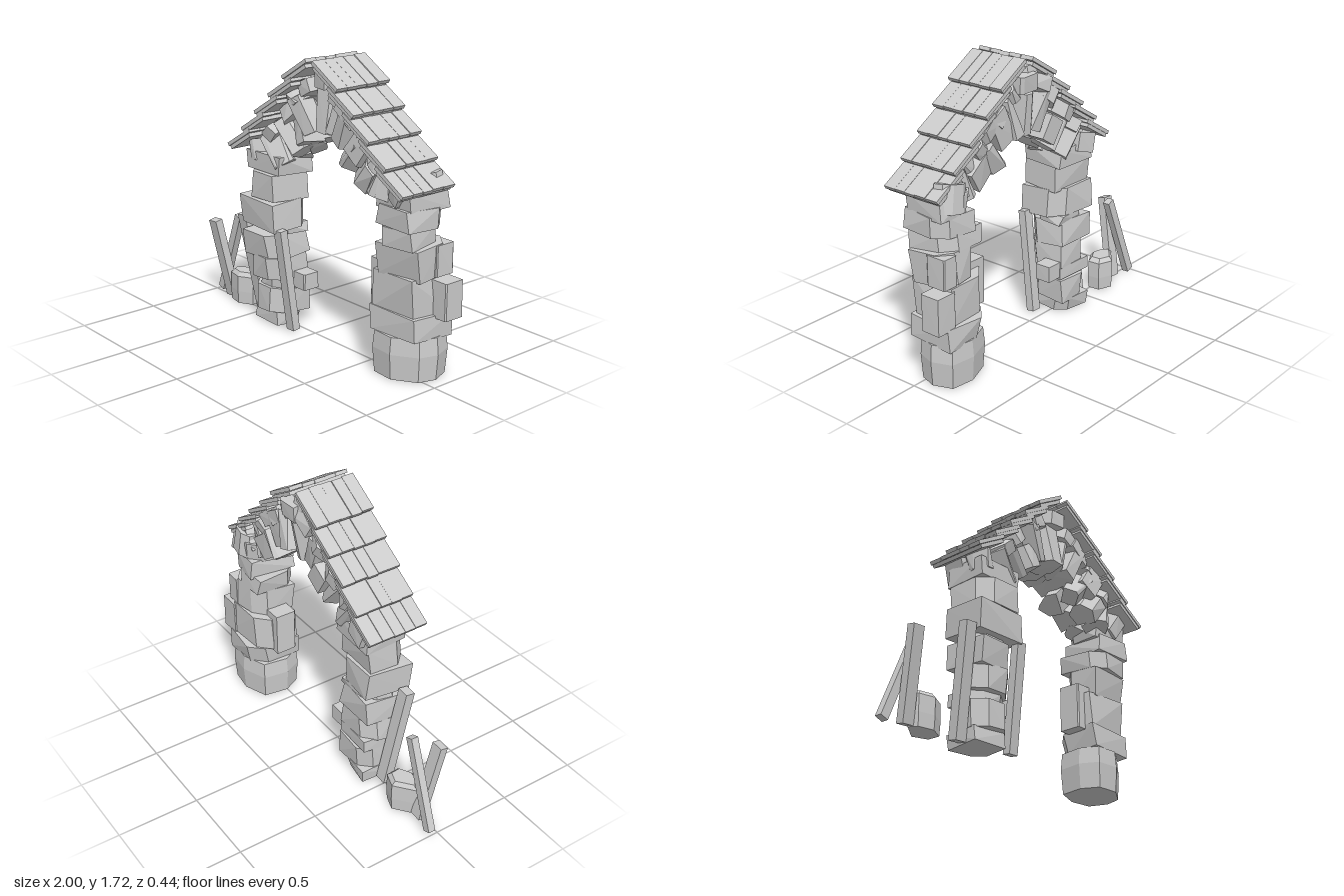
import * as THREE from 'three';
import { ConvexGeometry } from 'three/addons/geometries/ConvexGeometry.js';

export function createModel() {
  const root = new THREE.Group();
  const mat = new THREE.MeshStandardMaterial({ color: 0xcccccc, flatShading: true });
  let seed = 29;
  const rnd = () => (seed = (seed * 16807) % 2147483647) / 2147483647;
  const vary = (amount) => (rnd() * 2 - 1) * amount;

  function add(parent, name, geo) {
    const mesh = new THREE.Mesh(geo, mat);
    mesh.name = name;
    parent.add(mesh);
    return mesh;
  }
  function group(name) {
    const g = new THREE.Group();
    g.name = name;
    root.add(g);
    return g;
  }

  // Rough-hewn block: corners pulled in unevenly, some upright edges cut off, slightly turned
  function stone(parent, name, [x, y, z], [w, h, d], angle = 0, chip = 0.1, turn = 0.08) {
    const pts = [];
    for (const sx of [-1, 1]) for (const sz of [-1, 1]) {
      const cut = rnd() < 0.5 ? chip * 2.5 : 0;
      for (const sy of [-1, 1]) {
        const px = 0.5 - rnd() * chip, pz = 0.5 - rnd() * chip, py = sy * h * (0.5 - rnd() * chip * 0.5);
        pts.push(new THREE.Vector3(sx * w * (px - cut), py, sz * d * pz));
        pts.push(new THREE.Vector3(sx * w * px, py, sz * d * (pz - cut)));
      }
    }
    const m = add(parent, name, new ConvexGeometry(pts));
    m.position.set(x, y, z);
    m.rotation.set(vary(turn), vary(turn), angle);
    return m;
  }
  // Block given by its extents: x0, x1, y0, y1, z0, z1
  const block = (parent, name, [x0, x1, y0, y1, z0, z1], chip, turn) =>
    stone(parent, name, [(x0 + x1) / 2, (y0 + y1) / 2, (z0 + z1) / 2], [x1 - x0, y1 - y0, z1 - z0], 0, chip, turn);

  // Boulder: a plan outline of [x, z] scaled about its centre at each [height, scale]
  function boulder(parent, name, rim, cx, cz, levels) {
    const pts = [];
    for (const [x, z] of rim) for (const [y, s] of levels)
      pts.push(new THREE.Vector3(cx + (x - cx) * s, y, cz + (z - cz) * s));
    add(parent, name, new ConvexGeometry(pts));
  }

  // Pillar on the +x side
  const leftPillar = group('leftPillar');
  boulder(leftPillar, 'footStone', [[0.565, 0], [0.62, 0.11], [0.77, 0.12], [0.91, 0.03], [0.945, -0.08],
    [0.9, -0.2], [0.75, -0.22], [0.59, -0.16]], 0.75, -0.05, [[0, 0.94], [0.15, 1], [0.25, 0.95]]);
  [
    [0.58, 0.93, 0.24, 0.38, -0.23, 0.11],
    [0.56, 0.92, 0.37, 0.6, -0.2, 0.1],
    [0.61, 0.93, 0.59, 0.78, -0.19, 0.09],
    [0.6, 0.9, 0.77, 0.88, -0.18, 0.13],
    [0.64, 0.92, 0.87, 0.99, -0.18, 0.13],
    [0.63, 0.92, 0.97, 1.1, -0.18, 0.12],
  ].forEach((b) => block(leftPillar, 'pillarStone', b));
  [
    [0.86, 1.0, 0.36, 0.58, -0.2, -0.07],
    [0.52, 0.68, 0.36, 0.64, -0.1, 0.04],
    [0.84, 0.935, 0.6, 0.78, -0.19, -0.06],
  ].forEach((b) => block(leftPillar, 'sideStone', b, 0.02, 0));

  // Pillar on the -x side
  const rightPillar = group('rightPillar');
  [
    [-0.44, -0.19, 0, 0.09, -0.11, 0.12],
    [-0.45, -0.17, 0.08, 0.24, -0.12, 0.15],
    [-0.46, -0.17, 0.23, 0.31, -0.11, 0.13],
    [-0.47, -0.17, 0.3, 0.45, -0.12, 0.18],
    [-0.47, -0.17, 0.44, 0.6, -0.12, 0.18],
    [-0.46, -0.16, 0.59, 0.65, -0.1, 0.14],
    [-0.48, -0.14, 0.63, 0.81, -0.11, 0.19],
    [-0.46, -0.15, 0.8, 0.97, -0.1, 0.19],
    [-0.46, -0.13, 0.96, 1.08, -0.12, 0.16],
  ].forEach((b) => block(rightPillar, 'pillarStone', b));
  block(rightPillar, 'sideStone', [-0.23, -0.075, 0.25, 0.35, -0.09, 0.02], 0.02, 0);

  // Arch ring and the infill under the roof, two stones deep: x, y, width, height, angle
  const arch = group('arch');
  const pair = (name, [x, y, w, h, a]) => {
    for (const z of [0.07, -0.07])
      stone(arch, name, [x + vary(0.01), y + vary(0.01), z + vary(0.02)], [w, h, 0.18], a + vary(0.1), 0.14, 0.2);
  };
  [
    [-0.38, 1.08, 0.17, 0.13, 0.3], [-0.22, 1.11, 0.17, 0.22, 0.6],
    [-0.12, 1.21, 0.15, 0.24, 0.65], [-0.02, 1.25, 0.14, 0.16, 0.5],
    [0.03, 1.36, 0.16, 0.24, 0.4], [0.19, 1.4, 0.18, 0.27, -0.05],
    [0.31, 1.4, 0.13, 0.25, -0.25], [0.4, 1.37, 0.15, 0.24, -0.5],
    [0.46, 1.22, 0.16, 0.19, -0.7], [0.54, 1.27, 0.16, 0.2, -0.7],
    [0.57, 1.14, 0.16, 0.16, -0.7], [0.68, 1.11, 0.18, 0.22, -0.35],
    [0.79, 1.1, 0.18, 0.15, -0.5],
  ].forEach((s) => pair('archStone', s));
  [
    [-0.26, 1.21, 0.2, 0.08, 0.7], [-0.13, 1.33, 0.2, 0.09, 0.7],
    [-0.02, 1.45, 0.18, 0.09, 0.7], [0.1, 1.54, 0.18, 0.09, 0.5],
    [0.2, 1.6, 0.18, 0.1, 0], [0.31, 1.53, 0.18, 0.09, -0.5],
    [0.42, 1.45, 0.18, 0.09, -0.7], [0.54, 1.35, 0.2, 0.09, -0.7],
    [0.67, 1.22, 0.2, 0.09, -0.7],
  ].forEach((s) => pair('infillStone', s));
  // Stones that stick out at the back
  stone(arch, 'backStone', [0.81, 1.08, -0.125], [0.2, 0.17, 0.14], 0.2);
  stone(arch, 'backStone', [0.23, 1.58, -0.15], [0.15, 0.1, 0.08], 0, 0.06);

  // Roof: stepped rows of doubled shingles, mirrored about the ridge
  const roof = group('roof');
  const ridgeX = 0.2, pitch = 0.54, zEdges = [-0.165, -0.08, 0.0, 0.07, 0.14, 0.22];
  function shingle(name, side, x, y, len, z0, z1) {
    const tile = add(roof, name, new THREE.BoxGeometry(len, 0.022, z1 - z0 - 0.002));
    tile.position.set(ridgeX + side * x, y, (z0 + z1) / 2);
    tile.rotation.z = -side * pitch;
  }
  for (const side of [-1, 1]) for (let row = 0; row < 5; row++) {
    const x = 0.636 - row * 0.1275, y = 1.158 + row * 0.12;
    for (let c = 0; c < 5; c++)
      shingle('shingle', side, x + rnd() * 0.008, y + rnd() * 0.005, 0.24, zEdges[c], zEdges[c + 1]);
    shingle('underShingle', side, x - 0.002, y - 0.021, 0.21, -0.16, 0.215);
  }

  // Squared timber running between two points
  function timber(parent, name, from, to, w, d) {
    const a = new THREE.Vector3(...from), b = new THREE.Vector3(...to);
    const dir = b.clone().sub(a);
    const m = add(parent, name, new THREE.BoxGeometry(w, dir.length(), d));
    m.position.copy(a).add(b).multiplyScalar(0.5);
    m.quaternion.setFromUnitVectors(new THREE.Vector3(0, 1, 0), dir.normalize());
  }
  // Planks leaning on the pillar
  const planks = group('leaningPlanks');
  timber(planks, 'plank', [-0.475, 0.008, 0.01], [-0.52, 0.655, 0.12], 0.075, 0.06);
  timber(planks, 'plank', [-0.122, 0.008, 0.07], [-0.14, 0.645, 0.15], 0.065, 0.05);

  // Crossed stakes beside the arch
  const stakes = group('crossedStakes');
  timber(stakes, 'stake', [-0.973, 0.01, -0.035], [-0.76, 0.55, -0.02], 0.052, 0.045);
  timber(stakes, 'stake', [-0.835, 0.006, -0.01], [-0.875, 0.52, 0.09], 0.075, 0.05);

  // Loose faceted boulder on the ground
  boulder(root, 'looseBoulder', [[-0.82, -0.01], [-0.7, -0.105], [-0.605, -0.07], [-0.6, 0.01], [-0.69, 0.06],
    [-0.79, 0.04]], -0.705, -0.02, [[0, 0.95], [0.08, 1], [0.18, 0.98], [0.205, 0.72]]);

  return root;
}
